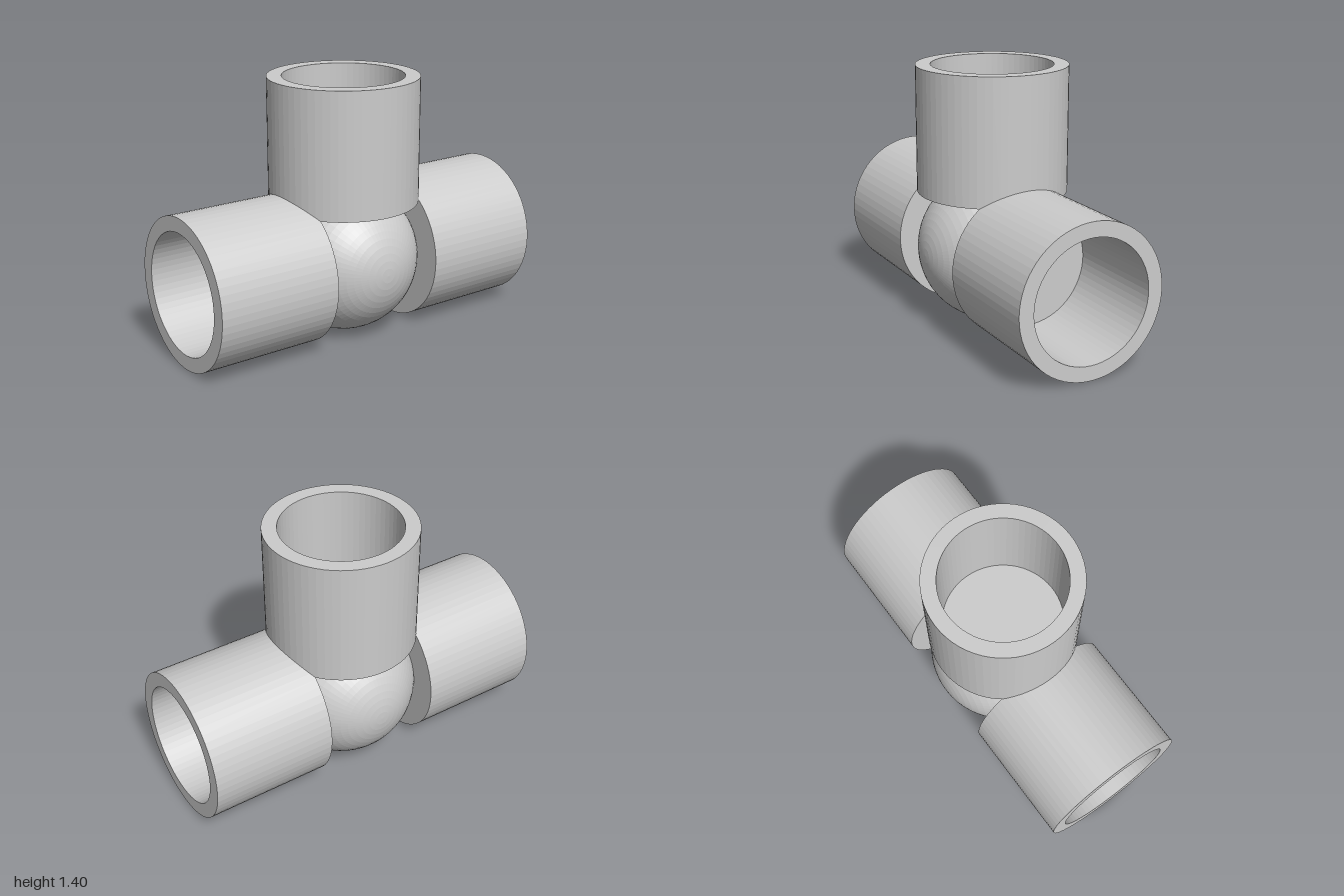
import * as THREE from 'three';

const R = 0.405;      // outer radius of sockets and hub
const BORE = 0.325;   // inner radius of the sockets
const START = 0.32;   // distance from hub centre to the base of a socket
const FLOOR = 0.41;   // distance from hub centre to the floor of the bore
const END = 1.0;      // distance from hub centre to the socket mouth
const SEGMENTS = 64;

export function createModel() {
  const model = new THREE.Group();
  model.name = 'threeWayPipeConnector';
  const material = new THREE.MeshStandardMaterial({ color: 0xcccccc, flatShading: true });

  // Ball joining the three sockets, poles facing front and back
  const hub = new THREE.Mesh(new THREE.SphereGeometry(R, SEGMENTS, SEGMENTS / 2), material);
  hub.name = 'hubBall';
  hub.rotation.x = Math.PI / 2;
  hub.position.y = R;
  model.add(hub);

  // Blind socket: solid base, outer wall, rim, bore and bore floor
  const profile = [
    [0, START], [R, START], [R, END], [BORE, END], [BORE, FLOOR], [0, FLOOR],
  ].map(([r, y]) => new THREE.Vector2(r, y));
  const socketGeometry = new THREE.LatheGeometry(profile, SEGMENTS);

  // The same socket points up, left and right
  const sockets = { topSocket: 0, leftSocket: -Math.PI / 2, rightSocket: Math.PI / 2 };
  for (const [name, angle] of Object.entries(sockets)) {
    const socket = new THREE.Mesh(socketGeometry, material);
    socket.name = name;
    socket.rotation.z = angle;
    socket.position.y = R;
    model.add(socket);
  }
  return model;
}
